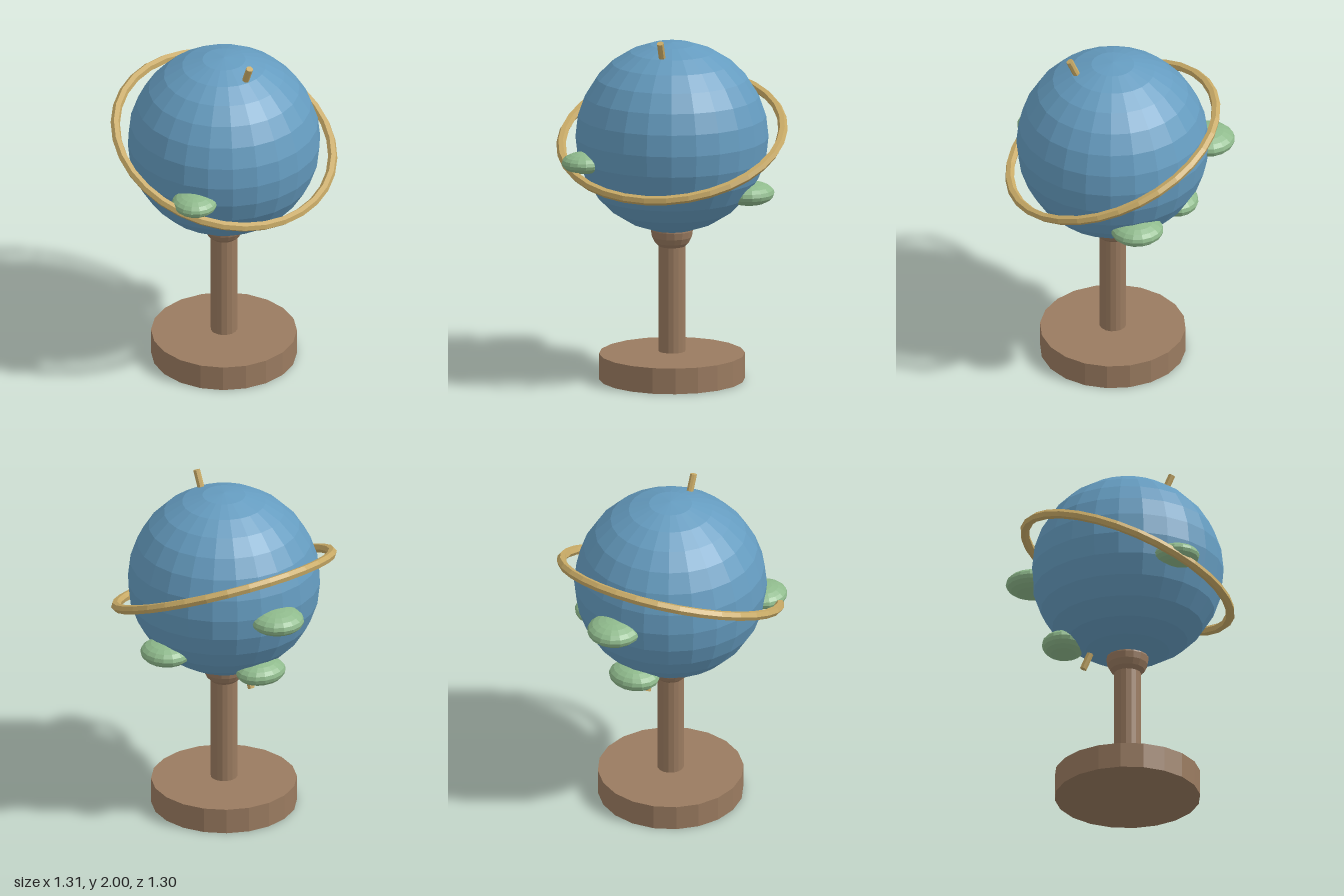
import * as THREE from 'three';

const mat = (color) => new THREE.MeshStandardMaterial({ color, flatShading: true });

export function createModel() {
  const model = new THREE.Group();
  model.name = 'deskGlobe';
  const wood = mat(0x9a7b60), sea = mat(0x659cc0), land = mat(0x8fba8c), brass = mat(0xc8aa66);

  const add = (parent, name, geometry, material, x = 0, y = 0, z = 0) => {
    const mesh = new THREE.Mesh(geometry, material);
    mesh.name = name;
    mesh.position.set(x, y, z);
    parent.add(mesh);
    return mesh;
  };

  const axisZ = 0.0425, centreY = 1.4, tilt = THREE.MathUtils.degToRad(23);

  // Stand: disc, column and rounded cup
  add(model, 'base', new THREE.CylinderGeometry(0.412, 0.412, 0.148, 20), wood, 0, 0.074, axisZ);
  add(model, 'column', new THREE.CylinderGeometry(0.076, 0.076, 0.69, 16), wood, 0, 0.505, axisZ);
  add(model, 'cup', new THREE.SphereGeometry(0.12, 16, 10), wood, 0, 0.86, axisZ);

  // Globe ball, poles upright
  add(model, 'globe', new THREE.SphereGeometry(0.545, 24, 14), sea, 0, centreY, axisZ);

  // Tilted axle with the ring square to it
  const tilted = new THREE.Group();
  tilted.name = 'tiltedAxis';
  tilted.position.set(0, centreY, axisZ);
  tilted.rotation.x = tilt;
  model.add(tilted);
  add(tilted, 'axle', new THREE.CylinderGeometry(0.02, 0.02, 1.283, 8), brass);
  add(tilted, 'ring', new THREE.TorusGeometry(0.63, 0.027, 6, 32), brass).rotation.x = Math.PI / 2;

  // Flattened land masses: centre, then half sizes
  const lands = [
    [-0.43, 1.29, 0.36, 0.125, 0.06, 0.132],
    [0.445, 1.09, 0.008, 0.14, 0.067, 0.15],
    [0.043, 1.367, -0.5, 0.153, 0.069, 0.152],
    [0.02, 0.97, -0.32, 0.15, 0.069, 0.125],
  ];
  for (const [x, y, z, sx, sy, sz] of lands) {
    add(model, 'landMass', new THREE.SphereGeometry(1, 16, 10), land, x, y, z).scale.set(sx, sy, sz);
  }
  return model;
}
